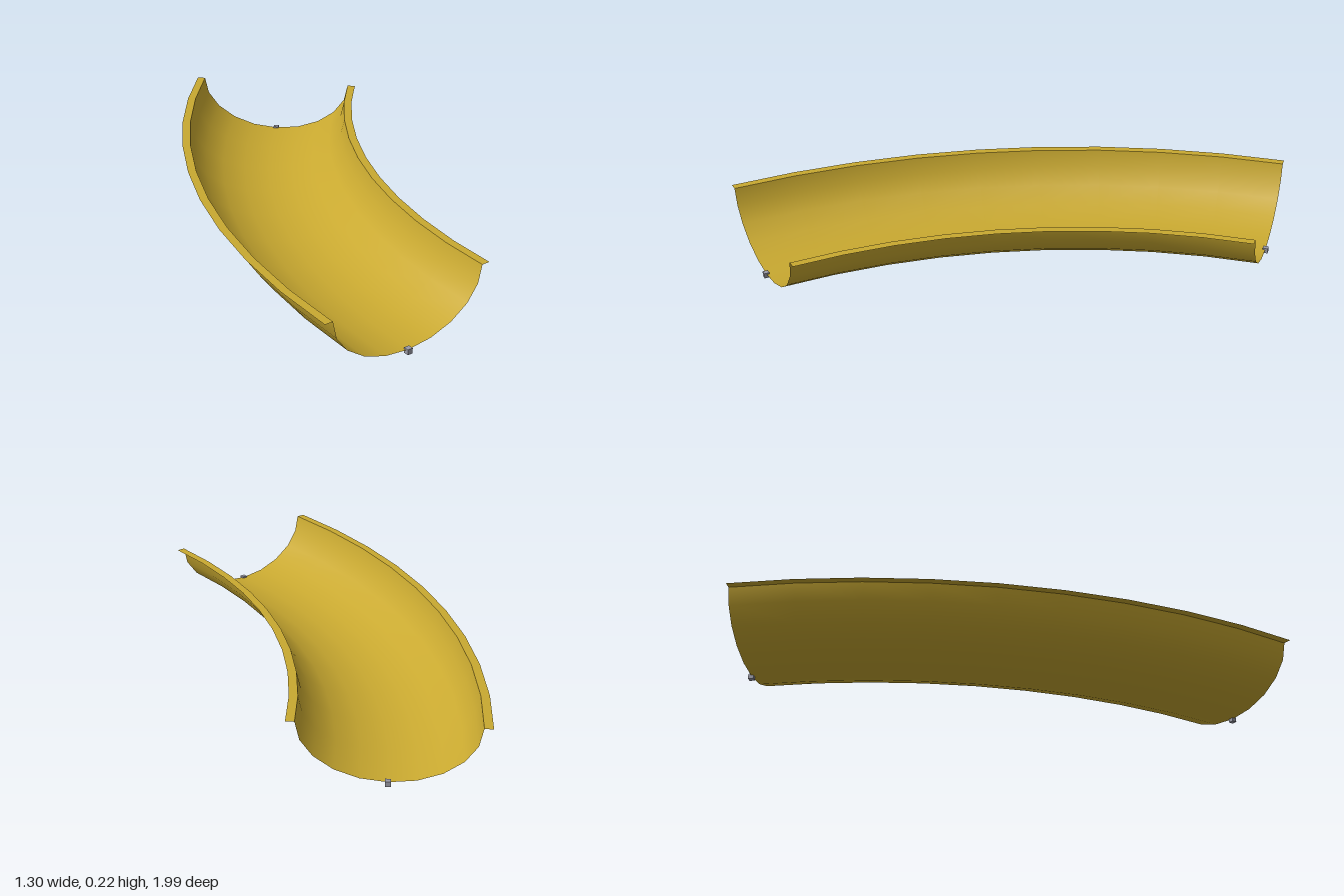
import * as THREE from 'three';

const BEND_X = 2.152, BEND_Z = 0.99; // centre of the bend
const RADIUS = 2.467;                // bend radius to the trough's middle
const HALF_WIDTH = 0.309, DEPTH = 0.212, RIM_Y = 0.225, LIP = 0.031;
const SWEEP = Math.PI / 4;

export function createModel() {
  const gold = new THREE.MeshStandardMaterial({ color: 0xc9a930, side: THREE.DoubleSide });
  gold.name = 'gold';
  const grey = new THREE.MeshStandardMaterial({ color: 0x9a9aa6 });
  grey.name = 'grey';

  const model = new THREE.Group();
  model.name = 'curvedTrough';

  // Sweep a cross-section through the 45 degree bend
  const sweep = (name, points) => {
    const geometry = new THREE.LatheGeometry(points, 9, Math.PI * 1.25, SWEEP);
    const mesh = new THREE.Mesh(geometry, gold);
    mesh.name = name;
    mesh.position.set(BEND_X, 0, BEND_Z);
    model.add(mesh);
  };

  // Half-elliptical channel
  const channel = [];
  for (let i = 0; i <= 10; i++) {
    const a = (i / 10) * Math.PI;
    channel.push(new THREE.Vector2(
      RADIUS - HALF_WIDTH * Math.cos(a), RIM_Y - DEPTH * Math.sin(a)));
  }
  sweep('channel', channel);

  // Flat lips along both rims
  const lip = (name, r) => sweep(name, [
    new THREE.Vector2(r + LIP, RIM_Y), new THREE.Vector2(r, RIM_Y)]);
  lip('outerLip', RADIUS + HALF_WIDTH);
  lip('innerLip', RADIUS - HALF_WIDTH - LIP);

  // Small connector block under the middle of each end
  for (const [name, angle] of [['frontConnector', 0], ['backConnector', SWEEP]]) {
    const block = new THREE.Mesh(new THREE.BoxGeometry(0.02, 0.02, 0.02), grey);
    block.name = name;
    block.position.set(
      BEND_X - RADIUS * Math.cos(angle), 0.01, BEND_Z - RADIUS * Math.sin(angle));
    block.rotation.y = -angle;
    model.add(block);
  }

  return model;
}
